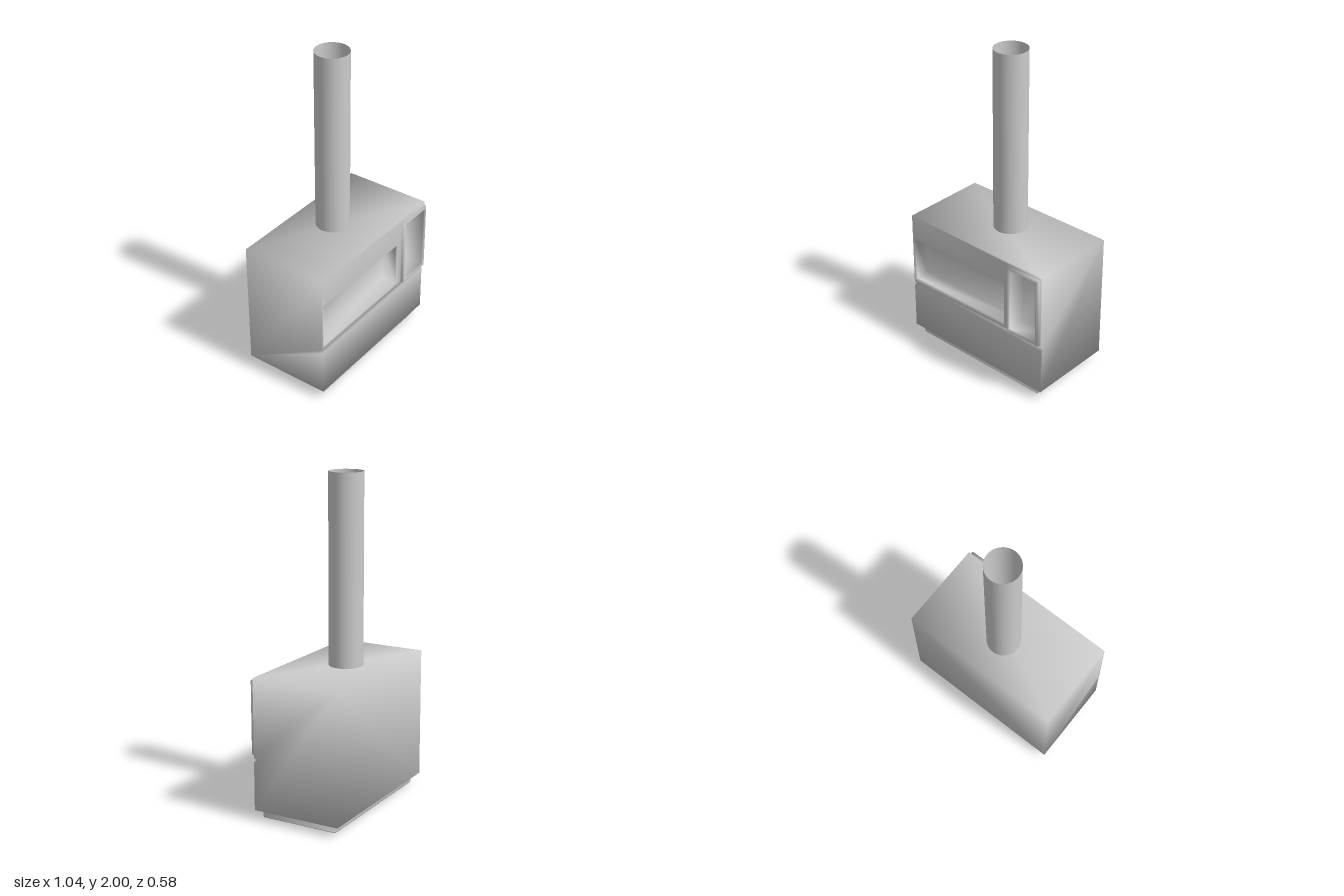
import * as THREE from 'three';
import { mergeGeometries, mergeVertices } from 'three/addons/utils/BufferGeometryUtils.js';

const V = (x, y, z) => new THREE.Vector3(x, y, z);
const material = new THREE.MeshStandardMaterial({ color: 0xcccccc });

// Triangles from a list of points
function fromPoints(points) {
  return new THREE.BufferGeometry().setFromPoints(points);
}

// Skin between successive cross-sections; optionally closed rings and a quad cap
function loft(rings, closed = true, cap = true) {
  const out = [];
  for (let r = 0; r + 1 < rings.length; r++) {
    const a = rings[r], b = rings[r + 1], n = a.length;
    for (let i = 0; i < (closed ? n : n - 1); i++) {
      const j = (i + 1) % n;
      out.push(a[i], a[j], b[j], a[i], b[j], b[i]);
    }
  }
  if (cap) {
    const [p, q, s, t] = rings[rings.length - 1];
    out.push(p, q, s, p, s, t);
  }
  return fromPoints(out);
}

// Counter-clockwise rectangle, shrunk by an inset, at depth z
function rect([x0, x1, y0, y1], z, inset = 0) {
  return [
    V(x0 + inset, y0 + inset, z), V(x1 - inset, y0 + inset, z),
    V(x1 - inset, y1 - inset, z), V(x0 + inset, y1 - inset, z),
  ];
}

// Flat panel with holes
function panel(points, holes = []) {
  const shape = new THREE.Shape(points.map(([x, y]) => new THREE.Vector2(x, y)));
  holes.forEach((h) => shape.holes.push(
    new THREE.Path(rect(h, 0).map((p) => new THREE.Vector2(p.x, p.y)))));
  return new THREE.ShapeGeometry(shape);
}

// Weld pieces into one smooth-shaded skin
function smooth(parts) {
  const raw = parts.map((g) => {
    const p = g.index ? g.toNonIndexed() : g;
    p.deleteAttribute('normal');
    p.deleteAttribute('uv');
    return p;
  });
  const g = mergeVertices(mergeGeometries(raw), 1e-4);
  g.computeVertexNormals();
  return g;
}

function add(group, name, geometry, mat = material) {
  const mesh = new THREE.Mesh(geometry, mat);
  mesh.name = name;
  group.add(mesh);
  return mesh;
}

export function createModel() {
  const group = new THREE.Group();
  group.name = 'stove';

  const W = 0.52, bottom = 0.06, top = 0.86, back = -0.29, front = 0.265;
  const wide = [-0.51, 0.23, 0.405, 0.695];   // long fire opening
  const tall = [0.27, 0.51, 0.395, 0.845];    // framed side opening

  // Body section as [z, y], with a shallow groove across the front
  const section = [
    [front, top], [back, top], [back, bottom], [front, bottom],
    [front, 0.355], [front - 0.015, 0.37], [front, 0.385],
  ];
  const slice = (x) => section.map(([z, y]) => V(x, y, z));
  const shell = loft([slice(W), slice(-W)], false, false);
  const rightSide = panel(section.map(([z, y]) => [-z, y])).rotateY(Math.PI / 2).translate(W, 0, 0);
  const leftSide = panel(section).rotateY(-Math.PI / 2).translate(-W, 0, 0);
  const face = panel([[-W, 0.385], [W, 0.385], [W, top], [-W, top]], [wide, tall]).translate(0, 0, front);

  // Long opening with bevelled rim
  const wideRecess = loft([
    rect(wide, front), rect(wide, front - 0.01, 0.008), rect(wide, front - 0.1, 0.008),
  ]);

  // Raised frame around the tall opening
  const tallRecess = loft([
    rect(tall, front), rect(tall, 0.28), rect(tall, 0.29, 0.008),
    rect(tall, 0.29, 0.017), rect(tall, 0.28, 0.023), rect(tall, front - 0.1, 0.023),
  ]);
  add(group, 'body', smooth([shell, rightSide, leftSide, face, wideRecess, tallRecess]));

  // Plinth with bevelled lower edge
  const foot = [-0.475, 0.473, -0.25, 0.235];
  const plinth = loft([
    rect(foot, -bottom), rect(foot, -0.012), rect(foot, -0.004, 0.004), rect(foot, 0, 0.012),
  ]).rotateX(Math.PI / 2);
  add(group, 'plinth', smooth([plinth]));

  // Open flue pipe
  const pipeMaterial = material.clone();
  pipeMaterial.side = THREE.DoubleSide;
  const height = 2 - top + 0.01;
  const pipe = add(group, 'fluePipe',
    new THREE.CylinderGeometry(0.103, 0.103, height, 40, 1, true), pipeMaterial);
  pipe.position.set(0, 2 - height / 2, -0.05);

  return group;
}
